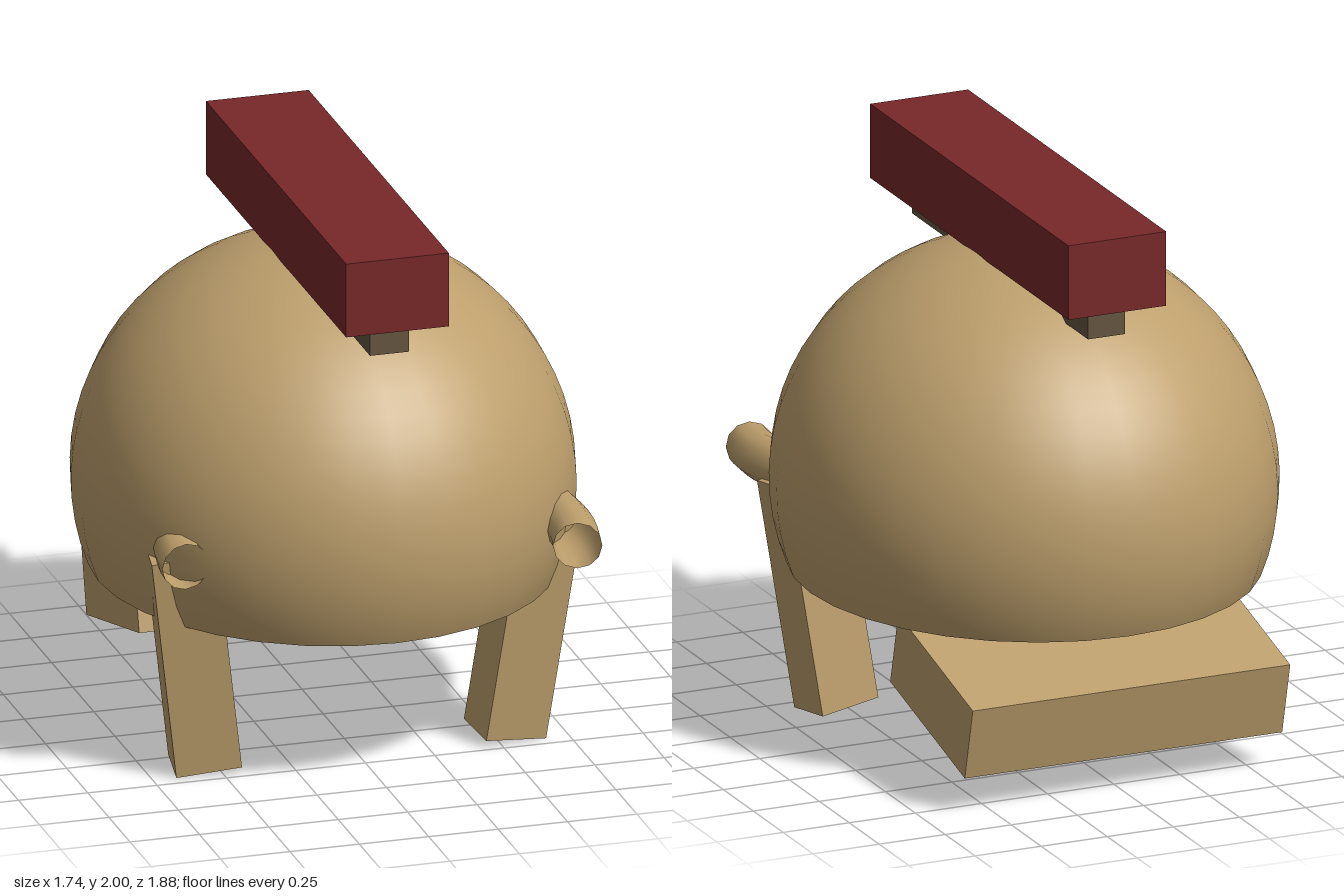
import * as THREE from 'three';

const tan = new THREE.MeshStandardMaterial({ color: 0xbd9f6c });
const tanOpen = new THREE.MeshStandardMaterial({ color: 0xbd9f6c, side: THREE.DoubleSide });
const red = new THREE.MeshStandardMaterial({ color: 0x782828 });
const brown = new THREE.MeshStandardMaterial({ color: 0x665540 });

export function createModel() {
  const model = new THREE.Group();

  function add(name, geometry, material, x, y, z) {
    const mesh = new THREE.Mesh(geometry, material);
    mesh.name = name;
    mesh.position.set(x, y, z);
    model.add(mesh);
    return mesh;
  }

  // Hollow ellipsoid shell, open underneath
  const shell = new THREE.SphereGeometry(1, 32, 20, 0, Math.PI * 2, 0, 1.944);
  shell.scale(0.87, 0.86, 0.94);
  add('domeShell', shell, tanOpen, 0, 0.895, 0);

  // Crest block on its narrow mounting rail
  add('crest', new THREE.BoxGeometry(0.37, 0.27, 1.66), red, 0, 1.865, 0.05);
  add('crestRail', new THREE.BoxGeometry(0.14, 0.115, 1.475), brown, 0, 1.6725, 0.0475);

  // Sloping neck guard at the back
  const guard = add('neckGuard', new THREE.BoxGeometry(1.2, 0.275, 0.645), tan, 0, 0.347, -0.553);
  guard.rotation.x = -0.248;

  // Splayed cheek guards, mirrored
  for (const side of [1, -1]) {
    const up = new THREE.Vector3(0.132 * side, 0.988, 0.084).normalize();
    const depth = new THREE.Vector3(0.978 * side, -0.13, -0.152).cross(up).normalize();
    const width = up.clone().cross(depth);
    const guardLeg = add(side > 0 ? 'leftCheekGuard' : 'rightCheekGuard',
      new THREE.BoxGeometry(0.23, 0.83, 0.185), tan, 0.595 * side, 0.437, 0.412);
    guardLeg.quaternion.setFromRotationMatrix(new THREE.Matrix4().makeBasis(width, up, depth));
  }

  // Open-ended curved band passing through the shell, one end longer
  const extra = 0.25;
  const band = new THREE.TorusGeometry(0.69, 0.085, 12, 40, Math.PI + extra);
  band.rotateZ(-extra);
  band.rotateX(-Math.PI / 2 + 0.06);
  add('browBand', band, tanOpen, 0, 0.855, 0.645);

  return model;
}
